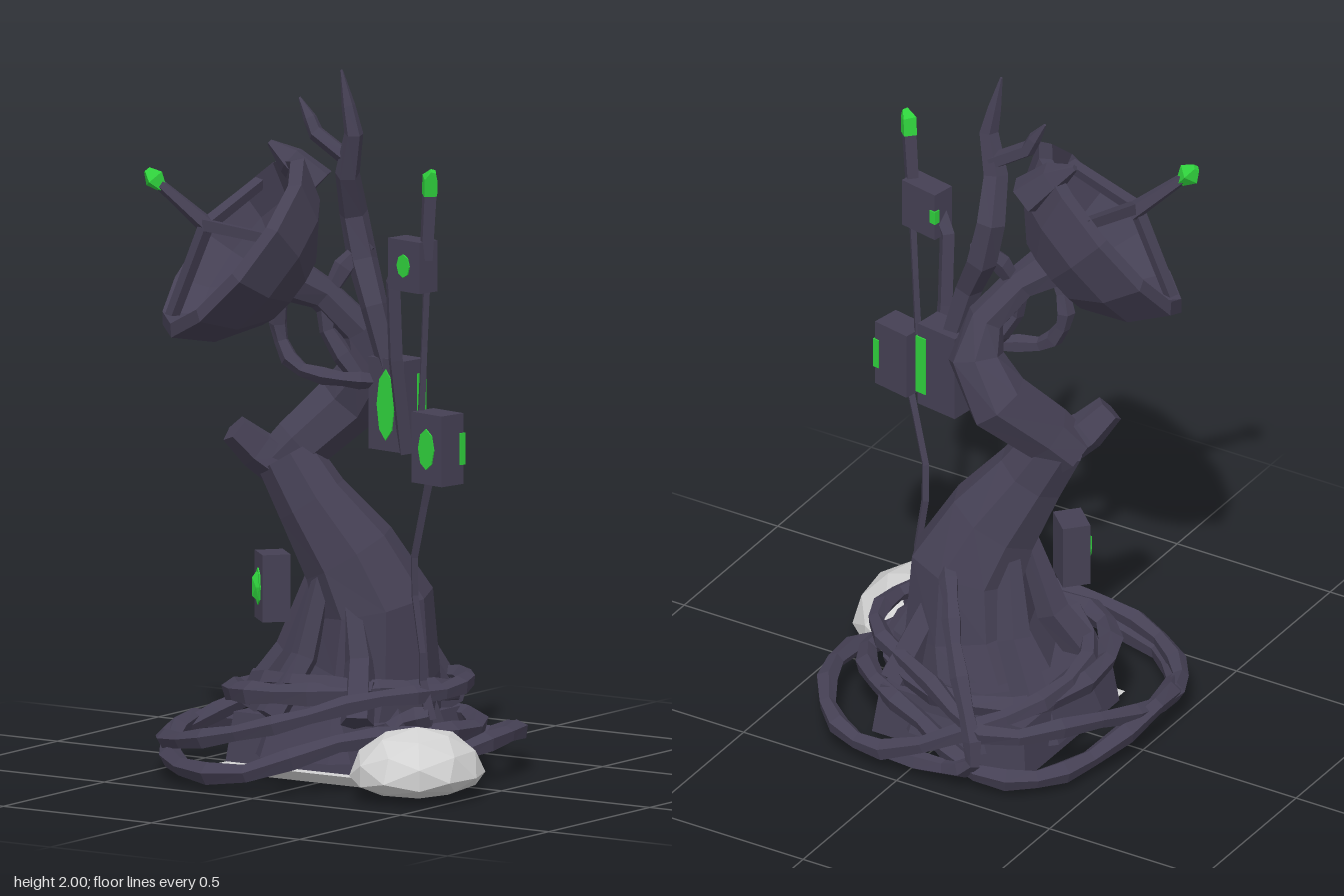
import * as THREE from 'three';

const mat = (name, color) => {
  const m = new THREE.MeshStandardMaterial({ color, flatShading: true });
  m.name = name;
  return m;
};
const V = (x, y, z) => new THREE.Vector3(x, y, z);

// Capped limb through [x, y, z, radius] stations
function limbGeometry(st, sides, closed = false) {
  const c = st.map(s => V(s[0], s[1], s[2])), n = c.length, pos = [], idx = [];
  let ref = null;
  for (let i = 0; i < n; i++) {
    const next = closed ? c[(i + 1) % n] : c[Math.min(i + 1, n - 1)];
    const prev = closed ? c[(i + n - 1) % n] : c[Math.max(i - 1, 0)];
    const t = next.clone().sub(prev).normalize();
    if (!ref) ref = Math.abs(t.z) < 0.8 ? V(0, 0, 1) : V(0, 1, 0);
    ref = ref.clone().addScaledVector(t, -ref.dot(t)).normalize();
    const b = t.clone().cross(ref);
    for (let j = 0; j < sides; j++) {
      const a = (j / sides) * Math.PI * 2;
      const p = c[i].clone().addScaledVector(ref, Math.cos(a) * st[i][3]).addScaledVector(b, Math.sin(a) * st[i][3]);
      pos.push(p.x, p.y, p.z);
    }
  }
  for (let i = 0; i < (closed ? n : n - 1); i++)
    for (let j = 0; j < sides; j++) {
      const k = (j + 1) % sides, a = i * sides, b = ((i + 1) % n) * sides;
      idx.push(a + j, a + k, b + j, a + k, b + k, b + j);
    }
  if (!closed)
    for (let j = 1; j < sides - 1; j++) {
      const e = (n - 1) * sides;
      idx.push(0, j + 1, j, e, e + j, e + j + 1);
    }
  const g = new THREE.BufferGeometry();
  g.setAttribute('position', new THREE.Float32BufferAttribute(pos, 3));
  g.setIndex(idx);
  g.computeVertexNormals();
  return g;
}

export function createModel() {
  const root = new THREE.Group();
  root.name = 'dishTree';
  const dark = mat('darkBark', 0x454054);
  const pale = mat('paleStone', 0xd2d2d2);
  const green = mat('greenGlow', 0x2fd03c);

  const add = (name, geo, m, parent = root) => {
    const mesh = new THREE.Mesh(geo, m);
    mesh.name = name;
    parent.add(mesh);
    return mesh;
  };
  const limb = (name, st, sides = 6, m = dark) => add(name, limbGeometry(st, sides), m);
  const cable = (name, pts, r, closed = false, steps = 20) => {
    const curve = new THREE.CatmullRomCurve3(pts.map(p => V(...p)), closed);
    const st = curve.getPoints(steps).map((p, i) => [p.x, p.y, p.z, r * (i % 2 ? 1.12 : 0.88)]);
    if (closed) st.pop();
    return add(name, limbGeometry(st, 5, closed), dark);
  };

  // Stone footing and dark plinth
  const footing = add('footing', new THREE.CylinderGeometry(0.35, 0.31, 0.03, 4).rotateY(Math.PI / 4), pale);
  footing.position.set(-0.07, 0.015, -0.045);
  const plinth = add('plinth', new THREE.CylinderGeometry(0.33, 0.355, 0.15, 4).rotateY(Math.PI / 4), dark);
  plinth.position.set(-0.07, 0.095, -0.085);
  const collar = add('plinthCollar', new THREE.CylinderGeometry(0.24, 0.3, 0.16, 8).rotateY(Math.PI / 8), dark);
  collar.position.set(-0.06, 0.14, -0.07);

  // Side rock, flattened underneath
  const rockGeo = new THREE.IcosahedronGeometry(1, 1);
  const rp = rockGeo.attributes.position;
  for (let i = 0; i < rp.count; i++) rp.setY(i, rp.getY(i) * (rp.getY(i) < 0 ? 0.062 : 0.132));
  rockGeo.computeVertexNormals();
  const rock = add('rock', rockGeo, pale);
  rock.scale.set(0.183, 1, 0.218);
  rock.position.set(0.357, 0.064, 0.208);
  rock.rotation.y = 0.15;

  // Bent trunk with a broken stub and root ridges
  limb('trunk', [
    [-0.03, 0.12, -0.07, 0.24], [0.02, 0.3, -0.07, 0.19], [0.03, 0.48, -0.06, 0.17],
    [-0.03, 0.62, -0.02, 0.14], [-0.12, 0.77, 0.03, 0.105], [-0.19, 0.89, 0.05, 0.09]], 8);
  limb('upperTrunk', [
    [-0.23, 0.85, 0.06, 0.075], [-0.17, 0.92, 0.02, 0.085], [-0.07, 1.04, -0.075, 0.095],
    [0.01, 1.15, -0.06, 0.08], [0, 1.26, -0.02, 0.055], [-0.07, 1.36, 0.05, 0.05], [-0.14, 1.41, 0.12, 0.07]], 7);
  limb('brokenStub', [[-0.18, 0.85, 0.05, 0.07], [-0.255, 0.91, 0.1, 0.06], [-0.3, 0.97, 0.15, 0.045]], 5);
  for (const [x, z, s] of [[-0.26, 0.08, 0.05], [-0.12, 0.2, 0.04], [0.12, 0.16, 0.045], [-0.25, -0.2, 0.05], [0.12, -0.26, 0.05]])
    limb('root', [[x * 0.3 - 0.02, 0.58, z * 0.3, 0.03], [x * 0.7, 0.34, z * 0.7 - 0.02, s], [x * 1.1, 0.18, z * 1.1, s * 1.1]], 5);

  // Cables wound round the foot
  cable('highCable', [[-0.5, 0.1, 0.1], [-0.43, 0.17, -0.2], [-0.25, 0.18, -0.42], [0, 0.24, -0.33], [0.25, 0.27, -0.2],
    [0.3, 0.26, 0], [0.18, 0.25, 0.2], [0, 0.19, 0.36], [-0.25, 0.13, 0.4], [-0.45, 0.1, 0.28]], 0.027, true, 24);
  cable('lowCable', [[-0.51, 0.12, 0.05], [-0.45, 0.06, -0.2], [-0.37, 0.05, -0.36], [-0.22, 0.06, -0.43], [0, 0.12, -0.36],
    [0.2, 0.15, -0.28], [0.32, 0.14, -0.13], [0.28, 0.15, 0.1], [0.15, 0.14, 0.3], [-0.05, 0.06, 0.46],
    [-0.3, 0.05, 0.41], [-0.45, 0.08, 0.25]], 0.03, true, 24);
  cable('innerCable', [[-0.35, 0.22, 0.05], [-0.28, 0.2, -0.25], [0, 0.2, -0.32], [0.2, 0.23, -0.2],
    [0.19, 0.26, 0.05], [0, 0.25, 0.2], [-0.22, 0.24, 0.22]], 0.033, true, 18);
  cable('backCable', [[0.27, 0.05, 0.08], [0.37, 0.1, -0.02], [0.37, 0.12, -0.25], [0.25, 0.09, -0.43], [0.08, 0.06, -0.465],
    [-0.18, 0.17, -0.4], [-0.32, 0.22, -0.2], [-0.3, 0.25, 0.05], [-0.1, 0.28, 0.18], [0.15, 0.27, 0.12]], 0.028);
  cable('risingCable', [[0.03, 0.53, -0.18], [-0.03, 0.48, -0.26], [-0.09, 0.39, -0.34], [-0.18, 0.24, -0.42],
    [-0.22, 0.1, -0.45], [-0.12, 0.05, -0.44], [0.06, 0.05, -0.45]], 0.026, false, 12);
  cable('wireAnchor', [[0.3, 0.2, 0.06], [0.22, 0.17, 0.1], [0.2, 0.08, 0.13], [0.205, 0.05, 0.25]], 0.033, false, 8);

  // Dish, local y along its axis
  const dish = new THREE.Group();
  dish.name = 'dish';
  dish.position.set(-0.25, 1.5, 0.225);
  dish.quaternion.setFromUnitVectors(V(0, 1, 0), V(-0.56, 0.62, 0.55).normalize());
  root.add(dish);
  const profile = [[0, -0.215], [0.13, -0.195], [0.25, -0.11], [0.315, 0], [0.285, 0.025], [0.225, -0.06], [0.11, -0.13], [0, -0.145]];
  add('dishBowl', new THREE.LatheGeometry(profile.map(p => new THREE.Vector2(...p)), 11), dark, dish);
  for (let i = 0; i < 3; i++) {
    const a = i * Math.PI * 2 / 3 + 0.5;
    add('feedStrut', limbGeometry([[Math.cos(a) * 0.28, 0, Math.sin(a) * 0.28, 0.02], [0, 0.1, 0, 0.022]], 4), dark, dish);
  }
  // Feed arm with its glowing tip
  limb('feedStem', [[-0.3, 1.55, 0.265, 0.028], [-0.435, 1.675, 0.325, 0.016]], 5);
  limb('feedTip', [[-0.425, 1.66, 0.32, 0.014], [-0.448, 1.688, 0.33, 0.034], [-0.468, 1.712, 0.337, 0.012]], 4, green);
  // Raised point on the rim
  limb('rimHorn', [[-0.1, 1.66, 0.03, 0.06], [-0.17, 1.73, 0.06, 0.045], [-0.235, 1.775, 0.07, 0.01]], 5);

  // Forked branch behind the dish
  limb('branch', [[0.12, 1.15, -0.01, 0.035], [0.07, 1.33, 0, 0.04], [0.01, 1.45, -0.03, 0.045], [-0.02, 1.58, -0.03, 0.042],
    [0, 1.7, 0.03, 0.036], [0.035, 1.82, 0.05, 0.028], [0.02, 1.9, 0.055, 0.02], [0, 2, 0.06, 0.004]], 5);
  limb('branchFork', [[0.01, 1.74, 0.03, 0.025], [-0.1, 1.81, 0.04, 0.024], [-0.12, 1.85, 0.04, 0.02], [-0.155, 1.905, 0.04, 0.004]], 5);
  cable('neckLoop', [[0.07, 1.12, 0], [0, 1.13, 0.07], [-0.13, 1.16, 0.1], [-0.185, 1.26, 0.1], [-0.15, 1.38, 0.12]], 0.024, false, 9);
  cable('neckVine', [[0.04, 1.12, 0.02], [-0.06, 1.28, 0.05], [-0.03, 1.42, 0.02], [0.02, 1.5, -0.04]], 0.028, false, 7);

  // Equipment boxes: a glowing front panel, and a glowing strip wrapped round a rear corner
  const plate = new THREE.CylinderGeometry(1, 1, 0.008, 8).rotateX(Math.PI / 2);
  const box = (name, [x, y, z], [w, h, d], turn, [pw, ph], strip) => {
    const g = new THREE.Group();
    g.name = name;
    g.position.set(x, y, z);
    g.rotation.y = turn;
    root.add(g);
    add('case', new THREE.BoxGeometry(w, h, d), dark, g);
    const p = add('glowPanel', plate, green, g);
    p.scale.set(pw / 2, ph / 2, 1);
    p.position.z = d / 2;
    if (strip) {
      const [side, sw, sh] = strip;
      const s = add('glowStrip', new THREE.BoxGeometry(sw, sh, sw), green, g);
      s.position.set(side * (w / 2 - sw / 2 + 0.004), 0, -(d / 2 - sw / 2 + 0.004));
    }
    return g;
  };
  box('middleBox', [0.135, 1.06, -0.015], [0.135, 0.26, 0.085], -0.15, [0.066, 0.2], [1, 0.035, 0.18]);
  box('lowerWireBox', [0.352, 0.97, 0.1], [0.12, 0.2, 0.085], -0.2, [0.062, 0.115], [1, 0.02, 0.09]);
  box('upperBox', [0.268, 1.48, 0.1], [0.125, 0.145, 0.07], -0.2, [0.05, 0.066], [-1, 0.02, 0.04]);
  const trunkBox = box('trunkBox', [-0.215, 0.525, 0.085], [0.1, 0.19, 0.08], -0.75, [0.055, 0.105]);
  const lamp = add('glowLamp', new THREE.IcosahedronGeometry(1, 0), green, trunkBox);
  lamp.scale.set(0.024, 0.05, 0.02);
  lamp.position.z = 0.042;

  // Post, antenna and hanging wire
  limb('post', [[0.19, 0.93, 0.02, 0.024], [0.19, 1.2, 0.07, 0.024], [0.195, 1.42, 0.09, 0.024], [0.23, 1.48, 0.1, 0.025]], 4);
  limb('antenna', [[0.32, 1.5, 0.11, 0.022], [0.335, 1.69, 0.115, 0.024]], 4);
  limb('antennaTip', [[0.335, 1.685, 0.115, 0.026], [0.34, 1.735, 0.12, 0.026], [0.355, 1.755, 0.125, 0.01]], 4, green);
  limb('upperWire', [[0.315, 1.43, 0.1, 0.012], [0.3, 1.25, 0.09, 0.011], [0.29, 1.05, 0.09, 0.012], [0.31, 1, 0.09, 0.012]], 4);
  limb('lowerWire', [[0.33, 0.9, 0.1, 0.014], [0.3, 0.8, 0.09, 0.012], [0.26, 0.65, 0.08, 0.012], [0.255, 0.54, 0.07, 0.012],
    [0.28, 0.38, 0.07, 0.012], [0.275, 0.3, 0.06, 0.014], [0.3, 0.19, 0.06, 0.022]], 4);
  return root;
}
